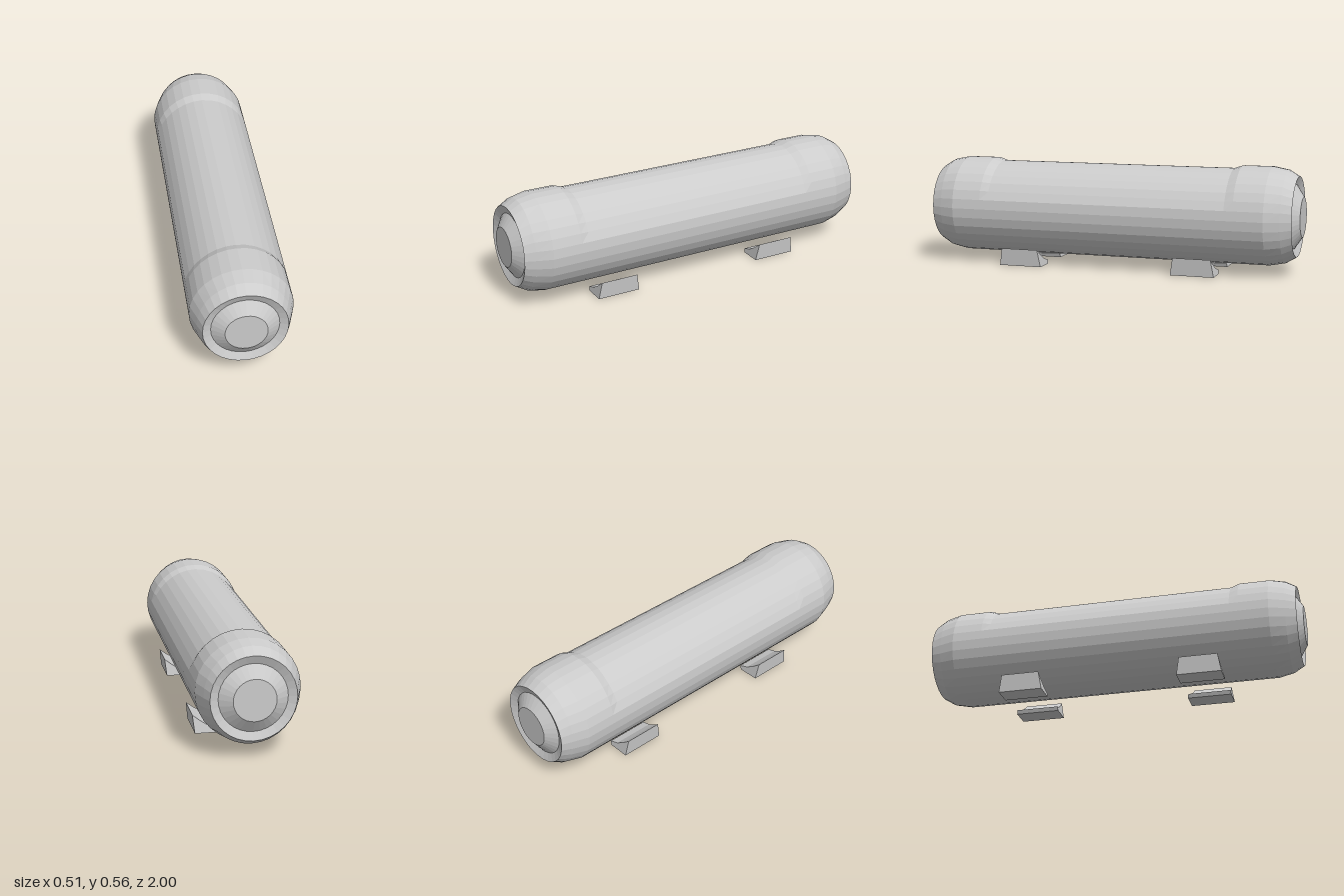
import * as THREE from 'three';

const CENTRE_Y = 0.3;
const grey = () => new THREE.MeshStandardMaterial({ color: 0xcccccc, flatShading: true });

// Capsule body: turned profile with dished ends and a shallow recess along the top
function createBody() {
  const end = [[0, 1], [0.103, 1], [0.166, 0.958], [0.207, 0.975], [0.24, 0.92],
    [0.255, 0.84], [0.255, 0.685], [0.255, 0.64]]; // radius, z
  const profile = [
    ...end.map(([r, z]) => new THREE.Vector2(r, -z)),
    ...end.slice().reverse().map(([r, z]) => new THREE.Vector2(r, z)),
  ];
  const geo = new THREE.LatheGeometry(profile, 32);
  geo.rotateX(Math.PI / 2);
  const p = geo.attributes.position;
  for (let i = 0; i < p.count; i++) {
    const z = Math.abs(p.getZ(i));
    const sin = p.getY(i) / 0.255;
    // sink the upper part of the middle section
    if (z < 0.65 && sin > 0.3) {
      const k = 1 - 0.06 * Math.min(1, sin * 1.3);
      p.setXY(i, p.getX(i) * k, p.getY(i) * k);
    }
    // shoulders are flatter at the sides than at top and bottom
    if (Math.abs(z - 0.92) < 0.01) p.setX(i, p.getX(i) * 0.95);
  }
  geo.computeVertexNormals();
  const mesh = new THREE.Mesh(geo, grey());
  mesh.name = 'body';
  mesh.position.y = CENTRE_Y;
  return mesh;
}

// Cradle foot: curved wedge section with slightly sloping ends
function createFoot(side, z) {
  const section = [[0.092, 0.02], [0.1, 0], [0.212, 0], [0.222, 0.092], [0.183, 0.062], [0.14, 0.035]];
  let pts = section.map(([x, y]) => new THREE.Vector2(x * side, y));
  const geo = new THREE.ExtrudeGeometry(new THREE.Shape(pts), { depth: 1, bevelEnabled: false });
  const p = geo.attributes.position;
  for (let i = 0; i < p.count; i++) {
    const half = 0.115 - 0.17 * p.getY(i);
    p.setZ(i, p.getZ(i) > 0.5 ? half : -half);
  }
  geo.computeVertexNormals();
  const mesh = new THREE.Mesh(geo, grey());
  mesh.name = (z > 0 ? 'front' : 'back') + (side > 0 ? 'Left' : 'Right') + 'Foot';
  mesh.position.z = z;
  return mesh;
}

export function createModel() {
  const model = new THREE.Group();
  model.name = 'capsuleOnFeet';
  model.add(createBody());
  for (const side of [1, -1]) {
    for (const z of [0.47, -0.47]) model.add(createFoot(side, z));
  }
  return model;
}
